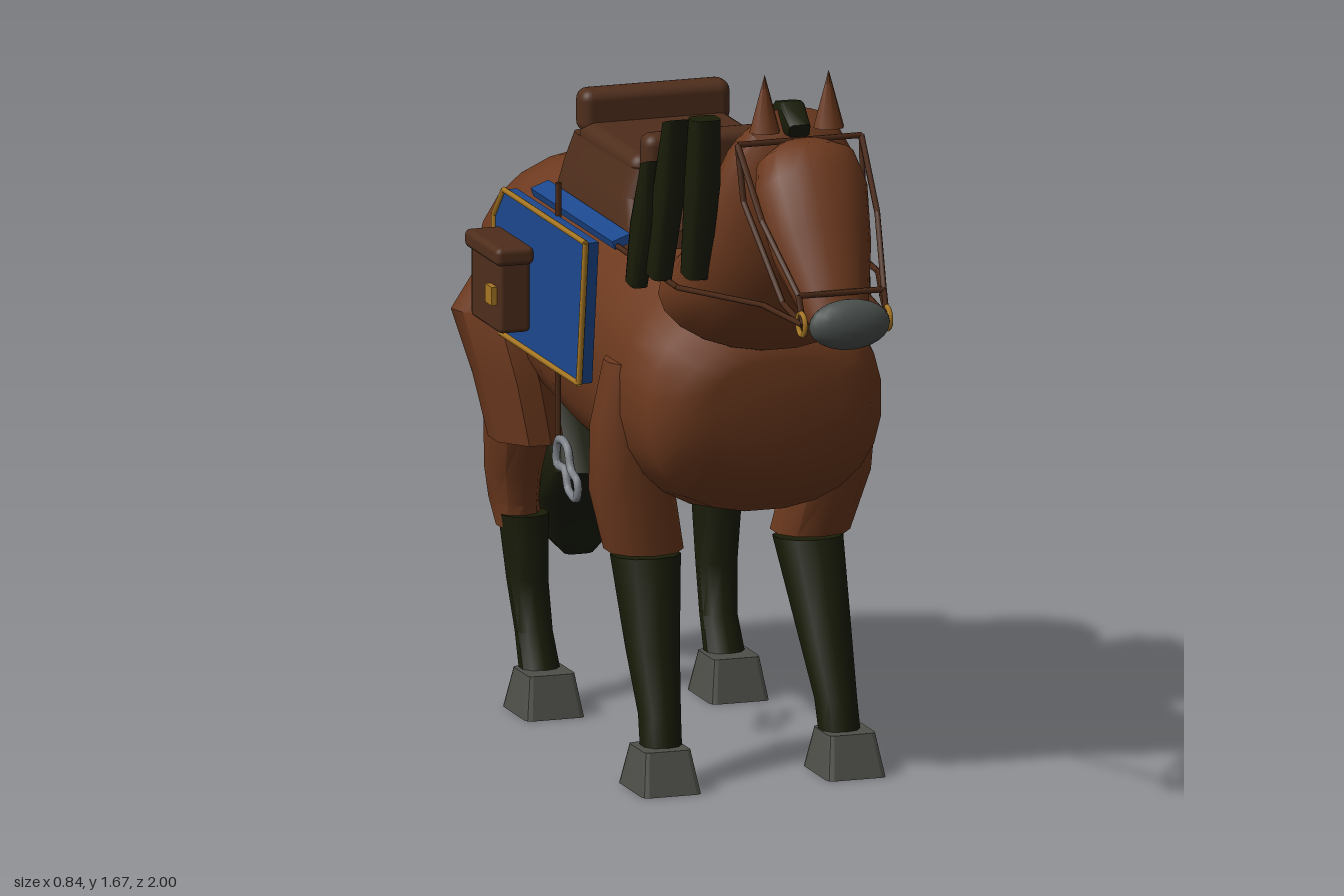
import * as THREE from 'three';
import { toCreasedNormals } from 'three/addons/utils/BufferGeometryUtils.js';
import { RoundedBoxGeometry } from 'three/addons/geometries/RoundedBoxGeometry.js';

const mat = (name, color) => {
  const m = new THREE.MeshStandardMaterial({ color });
  m.name = name;
  return m;
};

// Skin over rings. Each ring: [z1, y1, z2, y2, halfWidth, centreX]; the two points are
// opposite ends of the ring in the side plane. p > 2 makes the ring squarer.
function loft(rings, { n = 16, p = 2, crease = 0.9, side = 1 } = {}) {
  const pos = [], idx = [];
  const pow = v => Math.sign(v) * Math.abs(v) ** (2 / p);
  rings.forEach(([z1, y1, z2, y2, w, x = 0]) => {
    for (let i = 0; i < n; i++) {
      const a = (i + 0.5) / n * Math.PI * 2, c = pow(Math.cos(a)), s = pow(Math.sin(a));
      pos.push(side * x + w * c, (y1 + y2) / 2 + s * (y1 - y2) / 2, (z1 + z2) / 2 + s * (z1 - z2) / 2);
    }
  });
  const last = rings.length - 1;
  for (let r = 0; r < last; r++) for (let i = 0; i < n; i++) {
    const j = (i + 1) % n, a = r * n + i, b = r * n + j;
    idx.push(a, b, b + n, a, b + n, a + n);
  }
  for (const r of [0, last]) {
    const [z1, y1, z2, y2, , x = 0] = rings[r], c = pos.length / 3;
    pos.push(side * x, (y1 + y2) / 2, (z1 + z2) / 2);
    for (let i = 0; i < n; i++) {
      const a = r * n + i, b = r * n + (i + 1) % n;
      r ? idx.push(c, a, b) : idx.push(c, b, a);
    }
  }
  // Turn the faces outward whichever way the rings run
  const v = k => new THREE.Vector3().fromArray(pos, k * 3);
  let volume = 0;
  for (let i = 0; i < idx.length; i += 3) volume += v(idx[i]).dot(v(idx[i + 1]).cross(v(idx[i + 2])));
  if (volume < 0) idx.reverse();
  const g = new THREE.BufferGeometry();
  g.setAttribute('position', new THREE.Float32BufferAttribute(pos, 3));
  g.setIndex(idx);
  return toCreasedNormals(g, crease);
}

// Thin round rod between two points
function rod(a, b, r) {
  const A = new THREE.Vector3(...a), B = new THREE.Vector3(...b), d = B.clone().sub(A);
  const g = new THREE.CylinderGeometry(r, r, d.length(), 6);
  g.applyQuaternion(new THREE.Quaternion().setFromUnitVectors(new THREE.Vector3(0, 1, 0), d.normalize()));
  return g.translate(...A.add(B).multiplyScalar(0.5).toArray());
}

export function createModel() {
  const coat = mat('coat brown', 0x6c391e), hair = mat('dark hair', 0x191c08);
  const hoofGrey = mat('hoof grey', 0x4e4f49), muzzleGrey = mat('muzzle grey', 0x4a504d);
  const leather = mat('saddle leather', 0x4f2e1c), strap = mat('strap leather', 0x4a2917);
  const blue = mat('cloth blue', 0x1d488e), gold = mat('gold trim', 0xa87824), steel = mat('stirrup steel', 0x80848a);

  const model = new THREE.Group();
  const add = (name, geometry, material, parent = model) => {
    const m = new THREE.Mesh(geometry, material);
    m.name = name;
    parent.add(m);
    return m;
  };

  // Trunk, neck and head
  add('body', loft([
    [0.475, 0.99, 0.47, 0.8, 0.15], [0.465, 1.04, 0.455, 0.73, 0.225], [0.39, 1.1, 0.39, 0.63, 0.275],
    [0.25, 1.16, 0.25, 0.605, 0.29], [0, 1.19, 0, 0.61, 0.29], [-0.2, 1.18, -0.2, 0.625, 0.285],
    [-0.4, 1.2, -0.4, 0.66, 0.29], [-0.55, 1.25, -0.55, 0.69, 0.31], [-0.66, 1.23, -0.66, 0.69, 0.315],
    [-0.74, 1.16, -0.74, 0.69, 0.29], [-0.785, 1.05, -0.785, 0.71, 0.22],
  ], { n: 24, p: 2.3 }), coat);
  add('neck', loft([
    [0.13, 1.19, 0.42, 1.0, 0.2], [0.22, 1.21, 0.5, 1.02, 0.235], [0.33, 1.27, 0.56, 1.11, 0.225],
    [0.42, 1.42, 0.61, 1.22, 0.19], [0.5, 1.54, 0.635, 1.36, 0.155], [0.56, 1.585, 0.62, 1.5, 0.1],
  ], { n: 20 }), coat);
  add('head', loft([
    [0.665, 1.54, 0.63, 1.5, 0.06], [0.715, 1.54, 0.62, 1.43, 0.115], [0.765, 1.495, 0.64, 1.35, 0.13],
    [0.83, 1.38, 0.72, 1.235, 0.114], [0.89, 1.27, 0.8, 1.165, 0.085], [0.92, 1.2, 0.88, 1.13, 0.064],
  ], { n: 20 }), coat);
  add('muzzle', new THREE.SphereGeometry(1, 20, 12).scale(0.095, 0.057, 0.04).translate(0, 1.18, 0.96), muzzleGrey);

  // Mane, braids and tail
  add('mane', loft([
    [0.63, 1.56, 0.62, 1.53, 0.025], [0.575, 1.603, 0.56, 1.53, 0.03], [0.525, 1.595, 0.53, 1.48, 0.03],
    [0.45, 1.535, 0.48, 1.4, 0.03], [0.4, 1.475, 0.45, 1.36, 0.03], [0.35, 1.38, 0.41, 1.3, 0.03],
    [0.305, 1.245, 0.36, 1.21, 0.028],
  ], { n: 8, p: 6 }), hair);
  const braids = [
    [[0.53, 1.575, 0.59, 1.575, 0.033, -0.2], [0.5, 1.42, 0.59, 1.43, 0.035, -0.2], [0.46, 1.21, 0.53, 1.2, 0.028, -0.2]],
    [[0.47, 1.55, 0.515, 1.565, 0.027, -0.245], [0.41, 1.4, 0.5, 1.41, 0.03, -0.245], [0.36, 1.19, 0.43, 1.18, 0.024, -0.25]],
    [[0.39, 1.44, 0.43, 1.455, 0.02, -0.275], [0.335, 1.3, 0.42, 1.31, 0.024, -0.278], [0.3, 1.16, 0.36, 1.15, 0.02, -0.28]],
  ];
  for (const rings of braids) add('braid', loft(rings, { n: 12, p: 4 }), hair);
  add('tail', loft([
    [-0.785, 1.055, -0.82, 1.05, 0.07], [-0.785, 1.0, -0.885, 1.0, 0.11], [-0.8, 0.85, -0.95, 0.85, 0.13],
    [-0.79, 0.7, -0.985, 0.7, 0.13], [-0.75, 0.6, -1, 0.6, 0.125], [-0.67, 0.48, -0.985, 0.48, 0.118],
    [-0.8, 0.39, -0.955, 0.39, 0.105], [-0.825, 0.3, -0.92, 0.3, 0.075], [-0.85, 0.255, -0.885, 0.26, 0.035],
  ], { n: 16, p: 3 }), hair);

  // Saddle
  add('saddleBase', loft([
    [0.11, 1.17, -0.43, 1.17, 0.218], [0.105, 1.21, -0.43, 1.21, 0.215],
    [0.03, 1.27, -0.43, 1.27, 0.195], [0.02, 1.335, -0.42, 1.33, 0.175],
  ], { n: 20, p: 14, crease: 0.5 }), leather);
  add('seat', new RoundedBoxGeometry(0.35, 0.09, 0.38, 3, 0.03).translate(0, 1.318, -0.185), leather);
  add('pommel', new RoundedBoxGeometry(0.32, 0.11, 0.066, 3, 0.025).translate(0, 1.362, 0.022), leather);
  add('cantle', new RoundedBoxGeometry(0.35, 0.1, 0.068, 3, 0.025).translate(0, 1.385, -0.362), leather);

  // Crown and nose straps of the bridle
  add('crownStrap', rod([-0.145, 1.525, 0.625], [0.145, 1.525, 0.625], 0.007), strap);
  add('noseBand', rod([-0.1, 1.24, 0.905], [0.1, 1.24, 0.905], 0.007), strap);

  const panel = [[0.13, 1.205], [-0.42, 1.205], [-0.485, 1.135], [-0.475, 0.875], [0.085, 0.875]];
  for (const s of [1, -1]) {
    const half = new THREE.Group();
    half.name = s > 0 ? 'leftSide' : 'rightSide';
    model.add(half);
    const put = (name, g, m) => add(name, g, m, half);
    const leg = (name, rings, m, n = 10, p = 2.2) => put(name, loft(rings, { n, p, side: s, crease: 0.7 }), m);

    // Ear
    put('ear', new THREE.ConeGeometry(0.036, 0.13, 8).translate(s * 0.075, 1.61, 0.605), coat);

    // The legs stand slightly in stride: k moves the knee, f moves the foot
    const k = -s * 0.028, f = -s * 0.01;

    // Front leg
    leg('frontUpperLeg', [
      [0.25, 0.95, 0.135, 0.95, 0.045, 0.26], [0.255, 0.8, 0.1, 0.8, 0.075, 0.255],
      [0.24 + k / 2, 0.65, 0.07 + k / 2, 0.65, 0.095, 0.235], [0.22 + k, 0.51, 0.05 + k, 0.51, 0.088, 0.205]], coat);
    leg('frontSock', [
      [0.207 + k, 0.5, 0.06 + k, 0.495, 0.078, 0.2], [0.27 + k / 2, 0.3, 0.155 + k / 2, 0.3, 0.06, 0.206],
      [0.32 + f, 0.16, 0.23 + f, 0.16, 0.047, 0.21], [0.34 + f, 0.08, 0.25 + f, 0.08, 0.046, 0.213]], hair);

    // Hind leg
    leg('thigh', [
      [-0.54 + k, 1.02, -0.61 + k, 1.02, 0.025, 0.31], [-0.45 + k, 0.92, -0.72 + k, 0.89, 0.09, 0.31],
      [-0.41 + k / 2, 0.76, -0.66 + k / 2, 0.76, 0.088, 0.275], [-0.39, 0.62, -0.61, 0.62, 0.085, 0.25]], coat, 8, 1.6);
    leg('gaskin', [
      [-0.46, 0.68, -0.62, 0.68, 0.08, 0.25], [-0.525 + k / 2, 0.53, -0.67 + k / 2, 0.53, 0.062, 0.25],
      [-0.55 + f, 0.45, -0.69 + f, 0.46, 0.053, 0.24], [-0.55 + f, 0.4, -0.64 + f, 0.4, 0.052, 0.235]], coat);
    leg('hindSock', [
      [-0.53 + f, 0.43, -0.635 + f, 0.43, 0.056, 0.23], [-0.535 + f, 0.28, -0.605 + f, 0.28, 0.047, 0.225],
      [-0.505 + f, 0.17, -0.58 + f, 0.17, 0.042, 0.22], [-0.455 + f, 0.08, -0.54 + f, 0.08, 0.046, 0.22]], hair);

    // Hooves: four-sided tapered blocks
    for (const [name, a, b, c, d] of [['frontHoof', 0.398, 0.218, 0.365, 0.25], ['hindHoof', -0.388, -0.562, -0.415, -0.53]])
      put(name, loft([[a + f, 0, b + f, 0, 0.07, 0.22], [c + f, 0.095, d + f, 0.095, 0.055, 0.22]],
        { n: 12, p: 12, side: s, crease: 0.3 }), hoofGrey);

    // Saddle cloth edge and hanging side panel with gold border
    put('saddleCloth', new THREE.BoxGeometry(0.045, 0.02, 0.55).rotateZ(-s * 0.35).translate(s * 0.235, 1.197, -0.165), blue);
    const shape = new THREE.Shape(panel.map(q => new THREE.Vector2(...q)));
    put('sidePanel', new THREE.ExtrudeGeometry(shape, { depth: 0.03, bevelEnabled: false })
      .rotateY(-Math.PI / 2).translate(s > 0 ? 0.328 : -0.298, 0, 0), blue);
    panel.forEach(([z, y], i) => {
      const [z2, y2] = panel[(i + 1) % panel.length];
      put('panelTrim', rod([s * 0.329, y, z], [s * 0.329, y2, z2], 0.007), gold);
    });

    // Saddlebag
    put('bag', new RoundedBoxGeometry(0.075, 0.17, 0.195, 2, 0.012).translate(s * 0.365, 1.005, -0.338), leather);
    put('bagLid', new RoundedBoxGeometry(0.09, 0.042, 0.225, 2, 0.014).translate(s * 0.373, 1.1, -0.325), leather);
    put('bagClasp', new THREE.BoxGeometry(0.014, 0.042, 0.042).translate(s * 0.409, 1.005, -0.275), gold);

    // Stirrup and its strap
    put('stirrupStrap', rod([s * 0.297, 1.28, -0.145], [s * 0.297, 0.69, -0.148], 0.007), strap);
    const ring = [[-0.145, 0.695], [-0.085, 0.69], [-0.06, 0.645], [-0.015, 0.625], [-0.02, 0.59],
      [-0.075, 0.595], [-0.1, 0.635], [-0.155, 0.64]].map(([z, y]) => new THREE.Vector3(s * 0.297, y, z));
    put('stirrup', new THREE.TubeGeometry(new THREE.CatmullRomCurve3(ring, true), 40, 0.01, 6, true), steel);

    // Bridle straps, bit ring and rein
    const path = (name, pts) => pts.slice(1).forEach((q, i) =>
      put(name, rod([s * pts[i][0], pts[i][1], pts[i][2]], [s * q[0], q[1], q[2]], 0.007), strap));
    path('cheekStrap', [[0.145, 1.525, 0.625], [0.135, 1.38, 0.76], [0.1, 1.24, 0.905], [0.098, 1.18, 0.93]]);
    path('throatStrap', [[0.145, 1.525, 0.625], [0.14, 1.4, 0.65], [0.1, 1.2, 0.8], [0.1, 1.18, 0.93]]);
    path('rein', [[0.1, 1.18, 0.93], [0.14, 1.195, 0.78], [0.235, 1.175, 0.48], [0.25, 1.19, 0.12]]);
    put('bitRing', new THREE.TorusGeometry(0.025, 0.006, 6, 16).rotateY(Math.PI / 2).translate(s * 0.1, 1.18, 0.925), gold);
  }
  return model;
}
